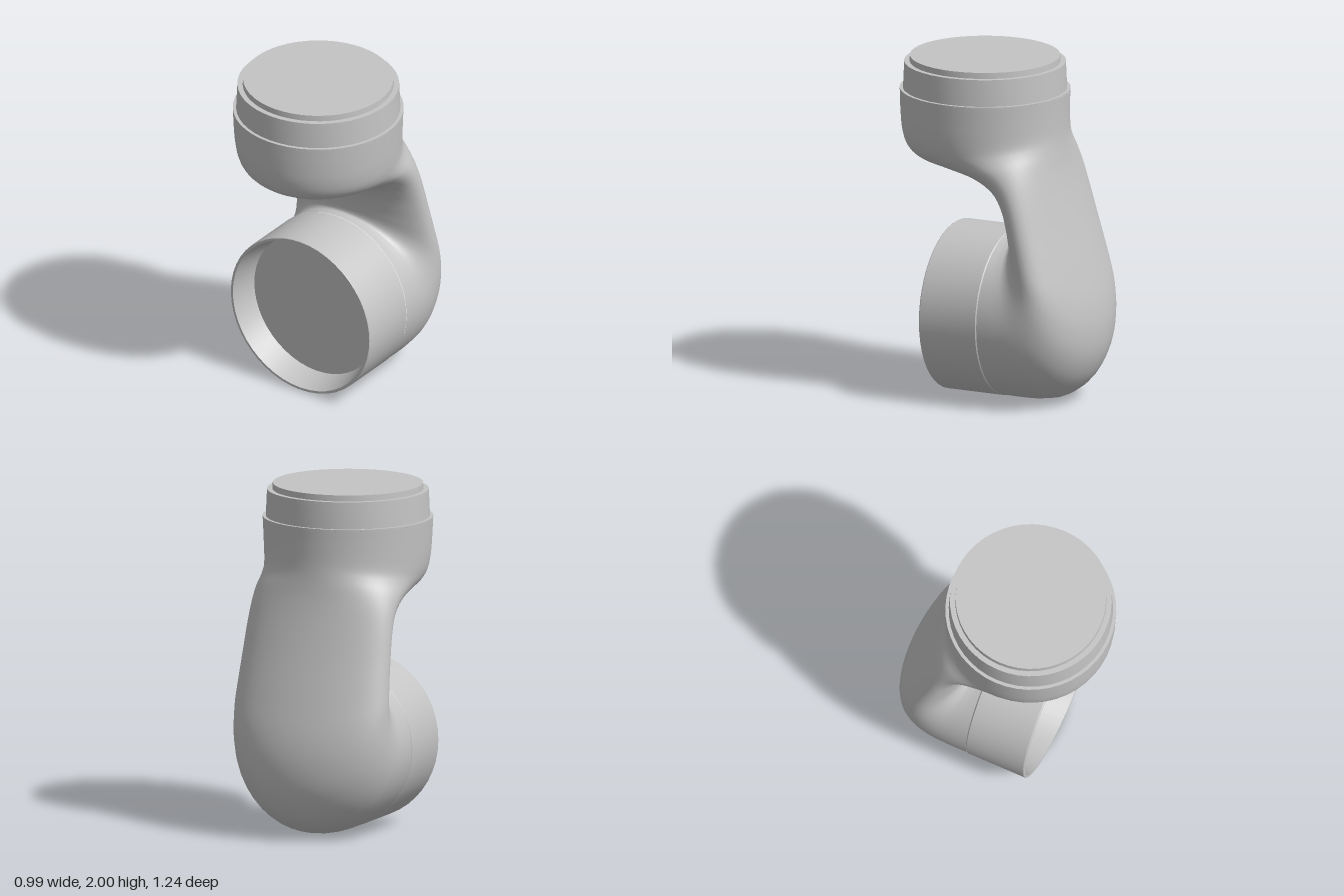
import * as THREE from 'three';
import { toCreasedNormals } from 'three/addons/utils/BufferGeometryUtils.js';

const grey = new THREE.MeshStandardMaterial({ color: 0xc4c4c4 });
grey.name = 'grey';

const SIDES = 48, STEPS = 72;

// Each section: inner bend point (z, y), outer bend point (z, y), half width
const sections = [
  [-0.06, 0.99, -0.06, 0.005, 0.492],
  [-0.09, 0.985, -0.18, 0.004, 0.492],
  [-0.105, 0.985, -0.3, 0.01, 0.491],
  [-0.115, 0.985, -0.42, 0.04, 0.49],
  [-0.12, 0.988, -0.53, 0.13, 0.488],
  [-0.123, 0.992, -0.6, 0.27, 0.485],
  [-0.125, 1.0, -0.62, 0.43, 0.482],
  [-0.126, 1.01, -0.602, 0.6, 0.479],
  [-0.125, 1.03, -0.55, 0.8, 0.472],
  [-0.118, 1.08, -0.48, 1.04, 0.463],
  [-0.09, 1.17, -0.425, 1.24, 0.455],
  [-0.02, 1.255, -0.392, 1.38, 0.45],
  [0.12, 1.32, -0.377, 1.47, 0.45],
  [0.32, 1.36, -0.37, 1.53, 0.453],
  [0.48, 1.395, -0.367, 1.57, 0.462],
  [0.57, 1.455, -0.365, 1.61, 0.473],
  [0.608, 1.55, -0.364, 1.67, 0.482],
  [0.62, 1.67, -0.364, 1.74, 0.488],
  [0.624, 1.8, -0.365, 1.8, 0.493],
];

// S-shaped body lofted through oval sections
function bodyGeometry() {
  const curve = (f) => new THREE.CatmullRomCurve3(sections.map(f), false, 'catmullrom', 0.5);
  const inner = curve(([z, y, , , w]) => new THREE.Vector3(w, y, z));
  const outer = curve(([, , z, y, w]) => new THREE.Vector3(w, y, z));
  const pos = [], index = [];
  for (let i = 0; i <= STEPS; i++) {
    const a = inner.getPoint(i / STEPS), b = outer.getPoint(i / STEPS);
    for (let j = 0; j < SIDES; j++) {
      const t = (j / SIDES) * Math.PI * 2;
      const k = (1 + Math.cos(t)) / 2;
      pos.push(a.x * Math.sin(t), b.y + (a.y - b.y) * k, b.z + (a.z - b.z) * k);
      if (i === STEPS) continue;
      const p = i * SIDES + j, q = i * SIDES + ((j + 1) % SIDES);
      index.push(p, q, p + SIDES, q, q + SIDES, p + SIDES);
    }
  }
  const g = new THREE.BufferGeometry();
  g.setAttribute('position', new THREE.Float32BufferAttribute(pos, 3));
  g.setIndex(index);
  g.computeVertexNormals();
  return g;
}

// Turned part with crisp edges
function turned(points) {
  const g = new THREE.LatheGeometry(points.map(([r, y]) => new THREE.Vector2(r, y)), SIDES);
  return toCreasedNormals(g, 0.5);
}

export function createModel() {
  const model = new THREE.Group();
  model.name = 'pipeElbow';
  const add = (name, geometry) => {
    const mesh = new THREE.Mesh(geometry, grey);
    mesh.name = name;
    model.add(mesh);
    return mesh;
  };

  add('curvedBody', bodyGeometry());

  // Stepped spigot closed by a flat disc on top
  add('topCollar', turned([
    [0.47, 1.79], [0.494, 1.8], [0.494, 1.808], [0.475, 1.808],
    [0.468, 1.965], [0.437, 1.965], [0.435, 2.0], [0, 2.0],
  ])).position.z = 0.13;

  // Front socket with a thin rim and a recessed disc
  const socket = add('frontSocket', turned([
    [0.47, -0.06], [0.488, -0.06], [0.495, -0.053], [0.495, 0.305],
    [0.492, 0.31], [0.478, 0.31], [0.44, 0.15], [0, 0.15],
  ]));
  socket.rotation.x = Math.PI / 2;
  socket.position.y = 0.497;

  return model;
}
